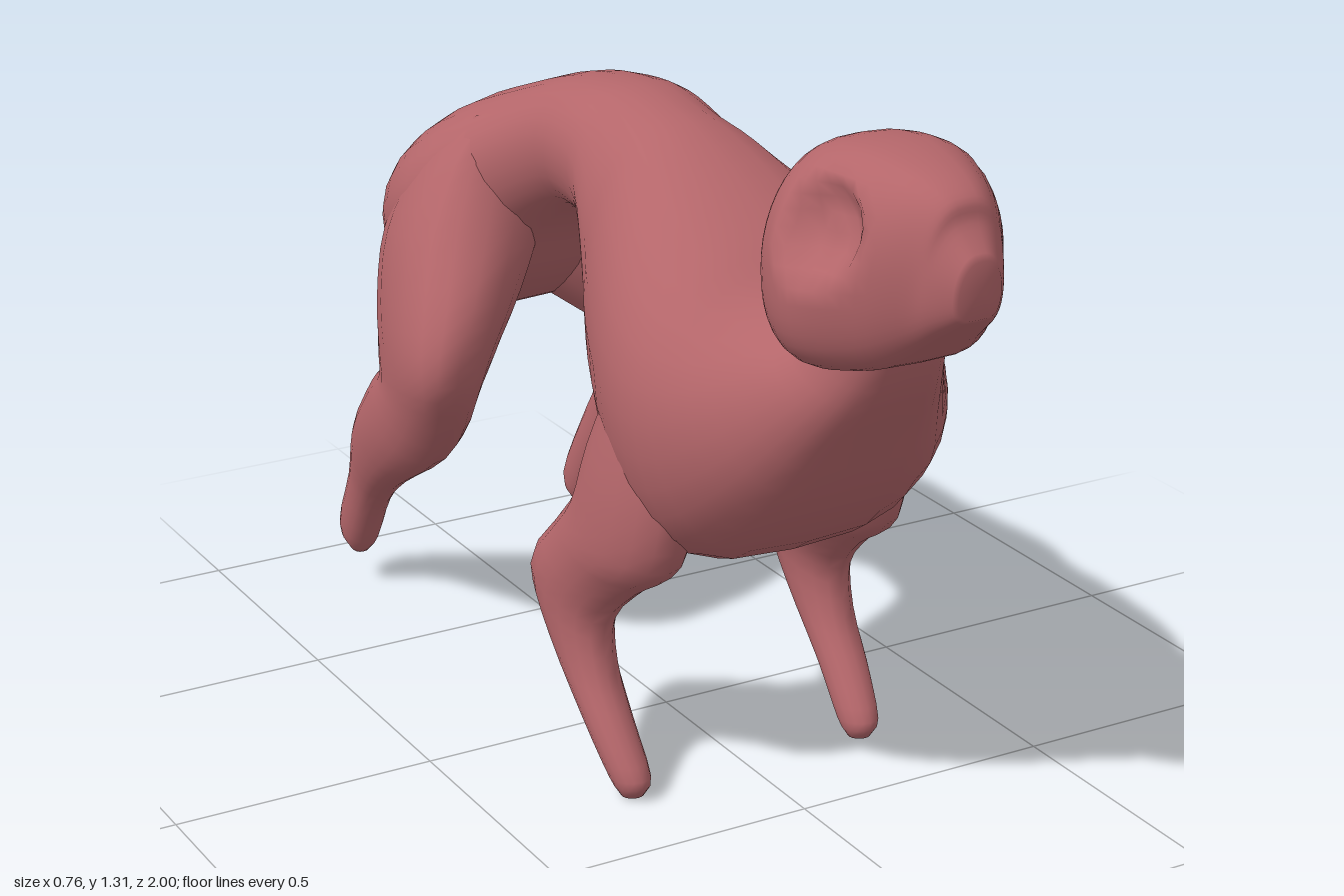
import * as THREE from 'three';

const skin = new THREE.MeshStandardMaterial({ color: 0xb4666a });
skin.name = 'dusty rose skin';

// Smooth skin over sections [z1, y1, z2, y2, centreX, halfWidth];
// the two points are opposite ends of each ring in the side plane.
// box and boxLow square off the first and second half of each ring.
function loft(name, sections, { side = 1, box = 1, boxLow = box, flare = 0, segs = 24, steps = 3, shape } = {}) {
  const curve = (f) => new THREE.CatmullRomCurve3(sections.map(f), false, 'catmullrom');
  const first = curve((s) => new THREE.Vector3(0, s[1], s[0]));
  const second = curve((s) => new THREE.Vector3(0, s[3], s[2]));
  const width = curve((s) => new THREE.Vector3(s[4] * side, s[5], 0));
  const rings = (sections.length - 1) * steps;
  const pos = [], index = [];
  const p = new THREE.Vector3();
  for (let i = 0; i <= rings; i++) {
    const t = i / rings;
    const a = first.getPoint(t), b = second.getPoint(t), w = width.getPoint(t);
    for (let j = 0; j < segs; j++) {
      const ang = (j / segs) * Math.PI * 2;
      const c = Math.cos(ang), s = Math.sin(ang);
      p.lerpVectors(b, a, (s + 1) / 2);
      p.x = w.x + w.y * Math.sign(c) * Math.abs(c) ** (s < 0 ? boxLow : box) * (1 - flare * s);
      if (shape) shape(p, side);
      pos.push(p.x, p.y, p.z);
      if (i < rings) {
        const q = i * segs + j, r = i * segs + (j + 1) % segs;
        index.push(q, q + segs, r, r, q + segs, r + segs);
      }
    }
  }
  // End caps
  for (const [ring, t] of [[0, 0], [rings, 1]]) {
    const m = first.getPoint(t).add(second.getPoint(t)).multiplyScalar(0.5);
    m.x = width.getPoint(t).x;
    if (shape) shape(m, side);
    const centre = pos.length / 3;
    pos.push(m.x, m.y, m.z);
    for (let j = 0; j < segs; j++) {
      const q = ring * segs + j, r = ring * segs + (j + 1) % segs;
      if (ring === 0) index.push(centre, q, r);
      else index.push(centre, r, q);
    }
  }
  const geo = new THREE.BufferGeometry();
  geo.setAttribute('position', new THREE.Float32BufferAttribute(pos, 3));
  geo.setIndex(index);
  geo.computeVertexNormals();
  const mesh = new THREE.Mesh(geo, skin);
  mesh.name = name;
  return mesh;
}

// Hollow eye sockets pressed into both sides of the head
function pressSockets(p) {
  const d = Math.hypot(p.z - 0.765, p.y - 1.19) / 0.085;
  if (d < 1 && Math.abs(p.x) > 0.08) p.x -= Math.sign(p.x) * 0.055 * Math.min(1, (1 - d) * 2);
}

// Thighs splay outwards at the front and tuck in behind
function splayThigh(p, side) {
  p.x += side * 0.3 * (p.z + 0.45) * THREE.MathUtils.smoothstep(p.y, 0.4, 0.7);
}

export function createModel() {
  const model = new THREE.Group();
  model.name = 'crouchingAnimal';

  // Neck, deep chest, arched waist and rump: top point, bottom point
  model.add(loft('torso', [
    [0.64, 1.10, 0.82, 1.01, 0, 0.10],
    [0.58, 0.985, 0.785, 0.90, 0, 0.12],
    [0.53, 0.98, 0.71, 0.78, 0, 0.175],
    [0.46, 1.00, 0.60, 0.62, 0, 0.255],
    [0.38, 1.05, 0.45, 0.49, 0, 0.30],
    [0.26, 1.11, 0.30, 0.47, 0, 0.29],
    [0.12, 1.165, 0.13, 0.54, 0, 0.235],
    [0.03, 1.185, 0.03, 0.67, 0, 0.19],
    [-0.07, 1.20, -0.04, 0.90, 0, 0.162],
    [-0.15, 1.20, -0.15, 0.95, 0, 0.155],
    [-0.28, 1.18, -0.25, 0.93, 0, 0.155],
    [-0.43, 1.13, -0.36, 0.85, 0, 0.20],
    [-0.59, 1.065, -0.45, 0.74, 0, 0.27],
    [-0.74, 0.97, -0.55, 0.66, 0, 0.26],
    [-0.82, 0.86, -0.66, 0.61, 0, 0.20],
    [-0.85, 0.73, -0.77, 0.61, 0, 0.10],
    [-0.84, 0.66, -0.81, 0.62, 0, 0.04],
  ], { box: 0.9, boxLow: 0.6, segs: 28 }));

  // Head, muzzle to nape
  model.add(loft('head', [
    [0.995, 1.18, 0.985, 1.08, 0, 0.04],
    [0.955, 1.23, 0.95, 1.05, 0, 0.07],
    [0.94, 1.27, 0.90, 1.01, 0, 0.09],
    [0.87, 1.30, 0.83, 0.96, 0, 0.14],
    [0.75, 1.315, 0.74, 0.935, 0, 0.20],
    [0.63, 1.295, 0.65, 0.935, 0, 0.185],
    [0.55, 1.23, 0.57, 0.965, 0, 0.13],
    [0.495, 1.14, 0.50, 1.06, 0, 0.05],
  ], { box: 0.75, boxLow: 0.45, flare: 0.1, segs: 40, steps: 5, shape: pressSockets }));

  for (const [side, label] of [[1, 'left'], [-1, 'right']]) {
    // Front leg: back point, front point
    model.add(loft(label + 'FrontLeg', [
      [0.22, 0.80, 0.38, 0.84, 0.19, 0.07],
      [0.16, 0.66, 0.43, 0.62, 0.215, 0.085],
      [0.12, 0.545, 0.40, 0.47, 0.225, 0.088],
      [0.05, 0.46, 0.30, 0.395, 0.235, 0.078],
      [-0.02, 0.37, 0.22, 0.31, 0.25, 0.062],
      [0.04, 0.27, 0.23, 0.21, 0.252, 0.052],
      [0.17, 0.13, 0.285, 0.125, 0.25, 0.044],
      [0.25, 0.035, 0.34, 0.045, 0.243, 0.036],
      [0.28, 0.003, 0.325, 0.008, 0.242, 0.02],
    ], { side, segs: 16 }));

    // Hind leg: heavy thigh rising into the hip, shank swept back
    model.add(loft(label + 'HindLeg', [
      [-0.60, 1.02, -0.40, 1.09, 0.09, 0.08],
      [-0.72, 0.92, -0.37, 1.00, 0.125, 0.14],
      [-0.79, 0.79, -0.31, 0.89, 0.165, 0.165],
      [-0.78, 0.66, -0.24, 0.77, 0.21, 0.145],
      [-0.67, 0.58, -0.22, 0.66, 0.25, 0.11],
      [-0.61, 0.555, -0.26, 0.56, 0.275, 0.085],
      [-0.63, 0.53, -0.40, 0.41, 0.285, 0.075],
      [-0.72, 0.40, -0.58, 0.30, 0.28, 0.055],
      [-0.785, 0.28, -0.70, 0.21, 0.265, 0.043],
      [-0.855, 0.145, -0.775, 0.10, 0.26, 0.04],
      [-0.835, 0.085, -0.80, 0.07, 0.26, 0.02],
    ], { side, segs: 20, box: 0.85, shape: splayThigh }));
  }

  // Thin curled tail
  model.add(loft('tail', [
    [-0.82, 0.66, -0.79, 0.61, 0, 0.018],
    [-0.855, 0.595, -0.84, 0.58, 0, 0.012],
    [-0.89, 0.56, -0.885, 0.545, 0, 0.009],
    [-0.93, 0.554, -0.932, 0.54, 0, 0.008],
    [-0.97, 0.569, -0.975, 0.559, 0, 0.006],
    [-0.997, 0.602, -1.0, 0.60, 0, 0.003],
  ], { segs: 8 }));

  return model;
}
